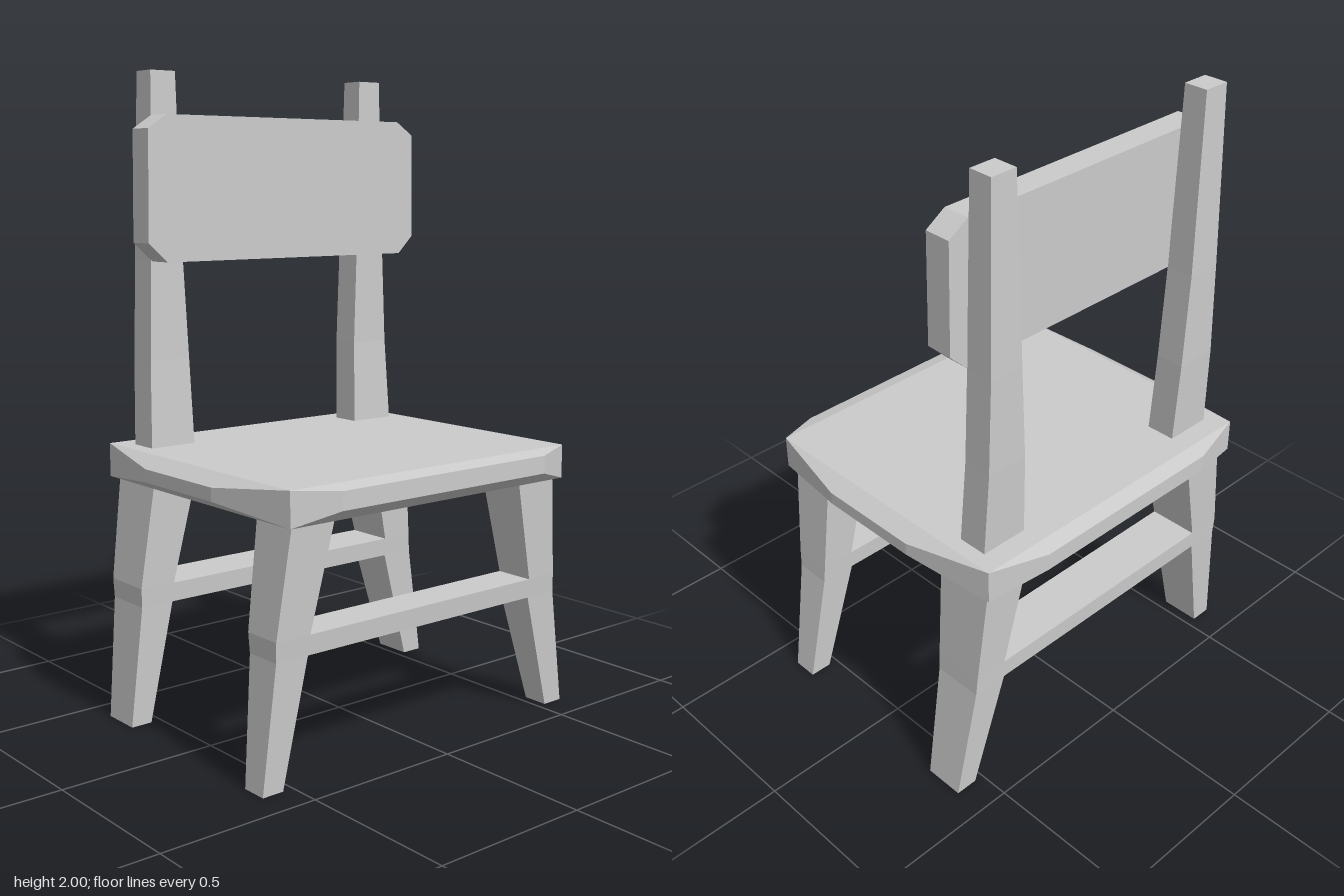
import * as THREE from 'three';
import { ConvexGeometry } from 'three/addons/geometries/ConvexGeometry.js';

const material = new THREE.MeshStandardMaterial({ color: 0xcccccc, flatShading: true });

// Solid through rectangular sections [y, x0, x1, z0, z1], listed from bottom to top
function loft(sections) {
  const rings = sections.map(([y, x0, x1, z0, z1]) =>
    [[x0, y, z0], [x0, y, z1], [x1, y, z1], [x1, y, z0]]);
  const positions = [];
  const quad = (a, b, c, d) => positions.push(...a, ...b, ...c, ...a, ...c, ...d);
  for (let i = 0; i < rings.length - 1; i++) {
    const low = rings[i], high = rings[i + 1];
    for (let k = 0; k < 4; k++) {
      const n = (k + 1) % 4;
      quad(low[k], low[n], high[n], high[k]);
    }
  }
  quad(...rings[0].slice().reverse());
  quad(...rings[rings.length - 1]);
  const geometry = new THREE.BufferGeometry();
  geometry.setAttribute('position', new THREE.Float32BufferAttribute(positions, 3));
  geometry.computeVertexNormals();
  return geometry;
}

// Seat: a slab whose four sides bulge outwards to smaller rectangles
function seatGeometry() {
  const points = [];
  const addBox = (x0, x1, y0, y1, z0, z1) => {
    for (const x of [x0, x1]) for (const y of [y0, y1]) for (const z of [z0, z1]) {
      points.push(new THREE.Vector3(x, y, z));
    }
  };
  addBox(-0.55, 0.52, 0.757, 0.862, -0.46, 0.46);
  addBox(-0.603, 0.573, 0.79, 0.83, -0.17, 0.17);
  for (const [x0, x1, z] of [[-0.41, 0.385, 0.51], [-0.355, 0.33, -0.51]]) {
    addBox(x0, x1, 0.795, 0.85, z, z);
  }
  return new ConvexGeometry(points);
}

// Backrest: a board with clipped corners
function backrestGeometry() {
  const outline = [[-0.475, 1.432], [0.45, 1.432], [0.51, 1.49], [0.505, 1.825],
    [0.44, 1.867], [-0.47, 1.867], [-0.535, 1.825], [-0.54, 1.49]];
  const shape = new THREE.Shape(outline.map(([x, y]) => new THREE.Vector2(x, y)));
  const geometry = new THREE.ExtrudeGeometry(shape, { depth: 0.085, bevelEnabled: false });
  return geometry.translate(0, 0, -0.312);
}

export function createModel() {
  const chair = new THREE.Group();
  chair.name = 'chair';
  const add = (name, geometry) => {
    const mesh = new THREE.Mesh(geometry, material);
    mesh.name = name;
    chair.add(mesh);
  };

  add('seat', seatGeometry());
  add('backrest', backrestGeometry());

  // Splayed legs, bent at the stretcher: shared heights, x and z spans
  const heights = [0, 0.38, 0.44, 0.78];
  const legX = {
    right: [[-0.605, -0.535], [-0.57, -0.46], [-0.573, -0.455], [-0.527, -0.375]],
    left: [[0.53, 0.602], [0.535, 0.42], [0.53, 0.42], [0.498, 0.345]]
      .map((span) => span.sort((a, b) => a - b)),
  };
  const legZ = {
    front: [[0.32, 0.402], [0.3, 0.42], [0.297, 0.425], [0.283, 0.441]],
    back: [[-0.402, -0.273], [-0.418, -0.257], [-0.42, -0.254], [-0.436, -0.239]],
  };
  for (const end of ['front', 'back']) {
    for (const side of ['right', 'left']) {
      add(`${end}Leg_${side}`,
        loft(heights.map((y, i) => [y, ...legX[side][i], ...legZ[end][i]])));
    }
    // Stretcher as deep as the legs it joins
    add(`${end}Stretcher`, loft([1, 2].map((i) =>
      [heights[i], legX.right[i][1] - 0.02, legX.left[i][0] + 0.02, ...legZ[end][i]])));
  }

  // Tapered back posts, slightly bent backwards
  const postX = {
    right: [[-0.5, -0.343], [-0.49, -0.35], [-0.48, -0.365], [-0.467, -0.38]],
    left: [[0.313, 0.472], [0.322, 0.46], [0.335, 0.45], [0.35, 0.436]],
  };
  const postZ = [[-0.391, -0.294], [-0.402, -0.308], [-0.402, -0.311], [-0.393, -0.316]];
  for (const side of ['right', 'left']) {
    add(`backPost_${side}`, loft([0.84, 1.13, 1.43, 2].map((y, i) =>
      [y, ...postX[side][i], ...postZ[i]])));
  }
  return chair;
}
